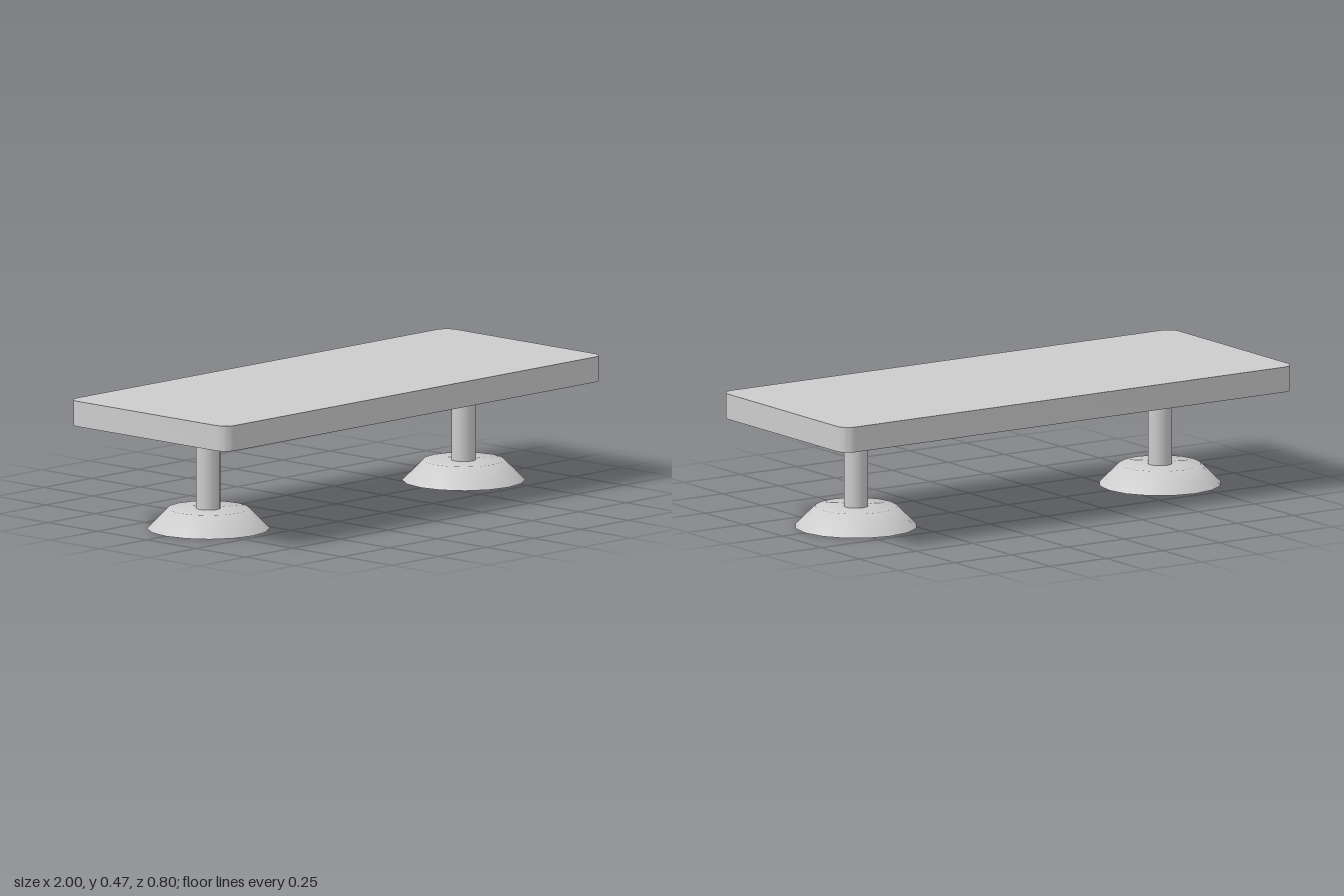
import * as THREE from 'three';
import { toCreasedNormals } from 'three/addons/utils/BufferGeometryUtils.js';

const grey = new THREE.MeshStandardMaterial({ color: 0xcccccc, side: THREE.DoubleSide });
grey.name = 'plain grey';

function addMesh(parent, name, geometry) {
  const mesh = new THREE.Mesh(geometry, grey);
  mesh.name = name;
  parent.add(mesh);
  return mesh;
}

// Rectangle with rounded corners, centred on the origin
function roundedRect(halfW, halfD, r) {
  const shape = new THREE.Shape();
  shape.absarc(halfW - r, halfD - r, r, 0, Math.PI / 2);
  shape.absarc(-halfW + r, halfD - r, r, Math.PI / 2, Math.PI);
  shape.absarc(-halfW + r, -halfD + r, r, Math.PI, Math.PI * 1.5);
  shape.absarc(halfW - r, -halfD + r, r, Math.PI * 1.5, Math.PI * 2);
  shape.closePath();
  return shape;
}

export function createModel() {
  const model = new THREE.Group();
  model.name = 'table';
  const topBottom = 0.376, topThickness = 0.094, baseHeight = 0.075, legRadius = 0.045;

  // Tabletop slab with soft corners
  const slab = new THREE.ExtrudeGeometry(roundedRect(1, 0.4, 0.05), {
    depth: topThickness, bevelEnabled: false, curveSegments: 5,
  });
  slab.rotateX(-Math.PI / 2);
  addMesh(model, 'tabletop', toCreasedNormals(slab, 0.6)).position.y = topBottom;

  // Two pedestals: hollow tube on a hollow flared foot
  const legLength = topBottom - baseHeight;
  const tube = new THREE.CylinderGeometry(legRadius, legRadius, legLength, 16, 1, true);
  const foot = new THREE.LatheGeometry([
    new THREE.Vector2(0.225, 0),
    new THREE.Vector2(0.15, baseHeight),
    new THREE.Vector2(legRadius, baseHeight),
  ], 16);
  for (const [side, x] of [['left', 0.674], ['right', -0.674]]) {
    const pedestal = new THREE.Group();
    pedestal.name = side + 'Pedestal';
    pedestal.position.x = x;
    addMesh(pedestal, side + 'Leg', tube).position.y = baseHeight + legLength / 2;
    addMesh(pedestal, side + 'Foot', foot);
    model.add(pedestal);
  }
  return model;
}
